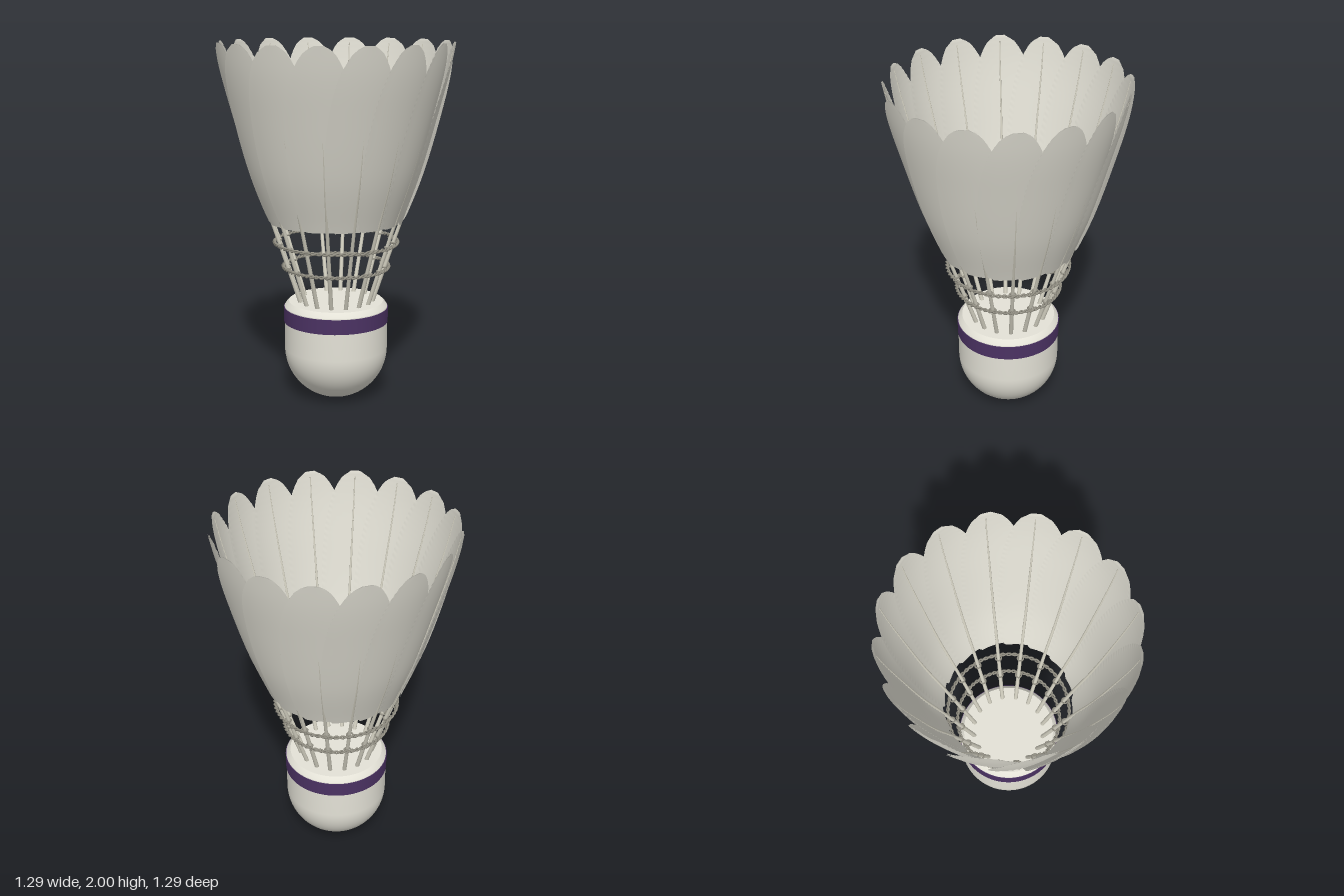
import * as THREE from 'three';

const COUNT = 16;
const BASE = 1.02, TIP = 2.0;

const mat = (name, color, side = THREE.FrontSide) => {
  const m = new THREE.MeshStandardMaterial({ color, side });
  m.name = name;
  return m;
};

// piecewise-smooth interpolation through [y, value] pairs
const smoothTable = (pairs) => {
  const curve = new THREE.SplineCurve(pairs.map(([y, v]) => new THREE.Vector2(y, v)));
  const pts = curve.getPoints(120);
  return (y) => {
    let i = 1;
    while (i < pts.length - 1 && pts[i].x < y) i++;
    const a = pts[i - 1], b = pts[i];
    return a.y + (b.y - a.y) * THREE.MathUtils.clamp((y - a.x) / (b.x - a.x), 0, 1);
  };
};

// distance of a quill from the axis, and half width of a vane, by height
const flare = smoothTable([[0.53, 0.2], [0.77, 0.28], [0.9, 0.325], [1.03, 0.367],
  [1.3, 0.463], [1.66, 0.562], [1.85, 0.61], [2.0, 0.64]]);
const halfWidth = smoothTable([[1.02, 0.095], [1.07, 0.13], [1.2, 0.155], [1.45, 0.178],
  [1.68, 0.17], [1.84, 0.14], [1.94, 0.095], [1.98, 0.06], [2.0, 0.025]]);

// vane wrapped round the axis, one edge outside its neighbour; rib makes slanted barbs
function vaneGeometry(offset, rows, rib) {
  const cols = 10, pos = [], idx = [];
  for (let j = 0; j <= rows; j++) {
    const t = j / rows;
    for (let i = 0; i <= cols; i++) {
      const u = (i / cols) * 2 - 1;
      let y = BASE + (TIP - BASE) * t;
      if (rib) y += 0.4 * Math.abs(u) * halfWidth(y) * Math.sin(Math.PI * t);
      const s = u * halfWidth(y) * (u < 0 ? 1.06 : 0.95);
      const R = flare(y);
      const r = R - 0.11 * s + offset - (j % 2) * rib;
      pos.push(r * Math.sin(s / R), y, r * Math.cos(s / R));
      if (i < cols && j < rows) {
        const a = j * (cols + 1) + i, b = a + cols + 1;
        idx.push(a, a + 1, b + 1, a, b + 1, b);
      }
    }
  }
  const g = new THREE.BufferGeometry();
  g.setAttribute('position', new THREE.Float32BufferAttribute(pos, 3));
  g.setIndex(idx);
  g.computeVertexNormals();
  return g;
}

// tapered quill following the flare
function quillGeometry() {
  const pts = [];
  for (let i = 0; i <= 10; i++) {
    const y = 0.53 + i * 0.144;
    pts.push(new THREE.Vector3(0, y, flare(y) - 0.004));
  }
  const path = new THREE.CatmullRomCurve3(pts);
  const steps = 30, sides = 8;
  const g = new THREE.TubeGeometry(path, steps, 1, sides);
  const p = g.attributes.position, v = new THREE.Vector3();
  for (let i = 0; i < p.count; i++) {
    const t = Math.floor(i / (sides + 1)) / steps;
    const c = path.getPointAt(t);
    v.fromBufferAttribute(p, i).sub(c).multiplyScalar(0.0125 - 0.0095 * t).add(c);
    p.setXYZ(i, v.x, v.y, v.z);
  }
  return g;
}

// one strand of a twisted thread ring
function strandGeometry(radius, y, phase) {
  const pts = [];
  for (let i = 0; i < 256; i++) {
    const a = (i / 256) * Math.PI * 2, w = a * 32 + phase;
    const r = radius + 0.006 * Math.cos(w);
    pts.push(new THREE.Vector3(r * Math.sin(a), y + 0.006 * Math.sin(w), r * Math.cos(a)));
  }
  return new THREE.TubeGeometry(new THREE.CatmullRomCurve3(pts, true), 384, 0.0055, 5, true);
}

export function createModel() {
  const model = new THREE.Group();
  model.name = 'shuttlecock';
  const cork = mat('cork white', 0xe4e2d7);
  const feather = mat('feather white', 0xdfddd2, THREE.DoubleSide);
  const quillMat = mat('quill ivory', 0xd2cfc0);
  const thread = mat('thread grey', 0x959286);
  const purple = mat('band purple', 0x4b3263);

  const add = (parent, name, geometry, material) => {
    const m = new THREE.Mesh(geometry, material);
    m.name = name;
    parent.add(m);
    return m;
  };
  const lathe = (name, pairs, material) => add(model, name,
    new THREE.LatheGeometry(pairs.map(([x, y]) => new THREE.Vector2(x, y)), 64), material);

  // cork: round nose and straight wall, bevelled rim, flat top
  const nose = [];
  for (let i = 0; i <= 20; i++) {
    const a = (i / 20) * Math.PI / 2;
    nose.push([0.29 * Math.sin(a), 0.29 - 0.29 * Math.cos(a)]);
  }
  lathe('corkBody', [...nose, [0.29, 0.4], [0.29, 0.53]], cork);
  lathe('corkBevel', [[0.29, 0.53], [0.28, 0.545], [0.265, 0.56]], cork);
  lathe('corkTop', [[0.265, 0.56], [0.13, 0.56], [0, 0.56]], cork);

  // coloured band with thin lips
  lathe('band', [[0.2935, 0.443], [0.2935, 0.526]], purple);
  lathe('bandLowerLip', [[0.289, 0.443], [0.2935, 0.443]], purple);
  lathe('bandUpperLip', [[0.2935, 0.526], [0.289, 0.526]], purple);

  // ring of overlapping feathers
  const outer = vaneGeometry(0.002, 28, 0);
  const inner = vaneGeometry(-0.003, 56, 0.003);
  const quill = quillGeometry();
  const knot = new THREE.TorusGeometry(0.017, 0.005, 6, 14);
  for (let i = 0; i < COUNT; i++) {
    const f = new THREE.Group();
    f.name = 'feather';
    f.rotation.y = (i / COUNT) * Math.PI * 2;
    add(f, 'vaneOutside', outer, feather);
    add(f, 'vaneInside', inner, feather);
    add(f, 'quill', quill, quillMat);
    // thread loops round the quill
    for (const y of [0.76, 0.9]) {
      const k = add(f, 'threadKnot', knot, thread);
      k.position.set(0, y, flare(y));
      k.rotation.x = Math.PI / 2;
    }
    model.add(f);
  }

  // two twisted thread rings
  for (const y of [0.76, 0.9]) {
    for (const phase of [0, Math.PI]) {
      add(model, 'threadRing', strandGeometry(flare(y) + 0.018, y, phase), thread);
    }
  }
  return model;
}
